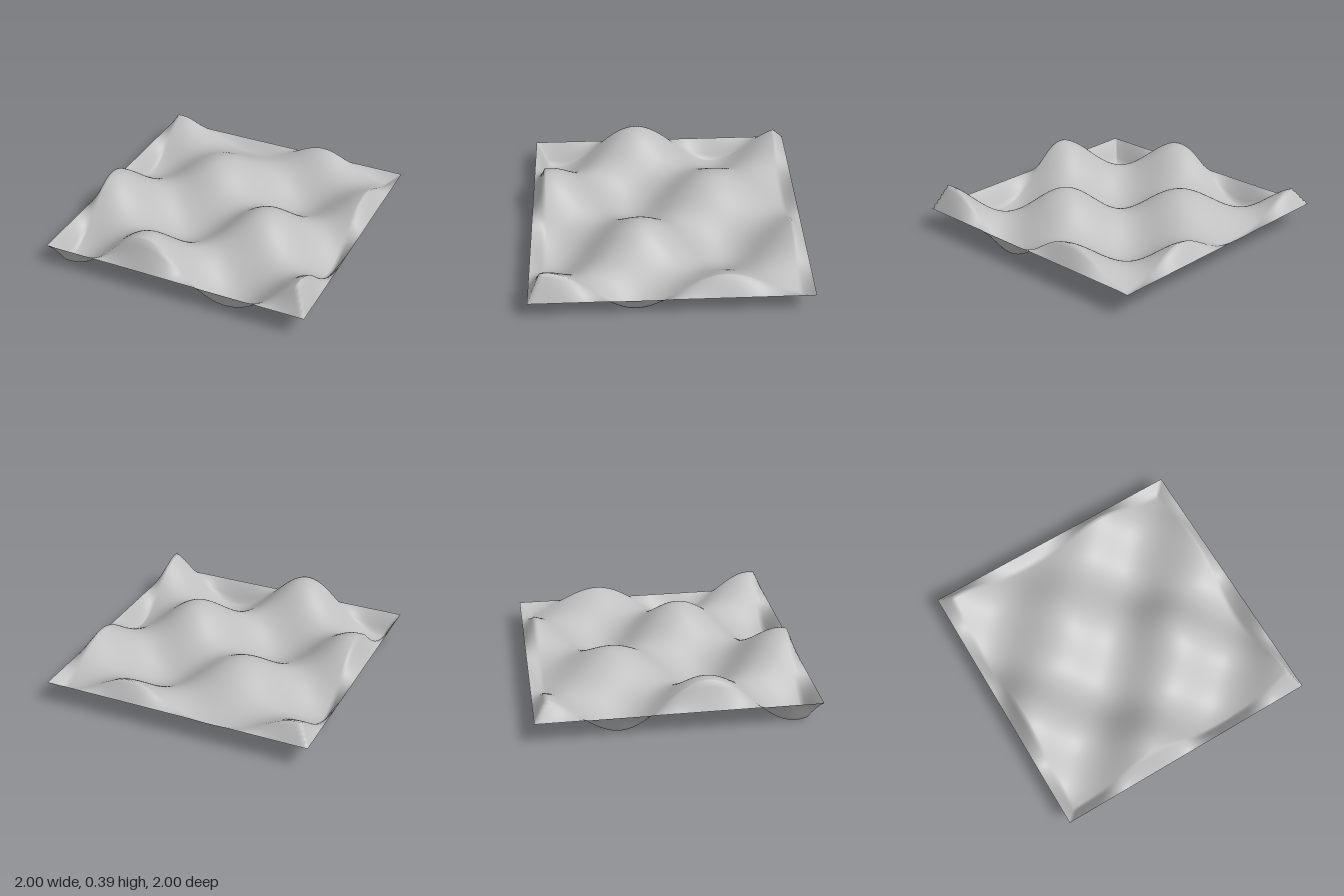
import * as THREE from 'three';

const RIM = 1 / 11;      // width of the sloping border
const BASE = 0.162;      // height of the flat outer edge
const SEGMENTS = 110;    // five cells across the border

// Egg-carton swell: crossed sine waves that grow towards the front
function swell(x, z) {
  const across = -Math.sin(5 * (x - 0.06));
  const amplitude = 0.168 + 0.04 * z - 0.01 * z * z;
  const lift = 0.015 + 0.018 * Math.cos(2 * Math.PI * z);
  return across * amplitude * Math.sin(5 * (z - 0.53)) + lift * across * across;
}

// Straight fall to the base level along the border, mitred at the corners
function rimFade(x, z) {
  const inset = 1 - Math.max(Math.abs(x), Math.abs(z));
  return THREE.MathUtils.clamp(inset / RIM, 0, 1);
}

export function createModel() {
  const group = new THREE.Group();
  group.name = 'wavySurface';

  const grey = new THREE.MeshStandardMaterial({ color: 0xbfbfbf, side: THREE.DoubleSide });
  grey.name = 'plain grey';

  // Square sheet, lifted vertex by vertex
  const geometry = new THREE.PlaneGeometry(2, 2, SEGMENTS, SEGMENTS);
  geometry.rotateX(-Math.PI / 2);
  const position = geometry.attributes.position;
  for (let i = 0; i < position.count; i++) {
    const x = position.getX(i);
    const z = position.getZ(i);
    position.setY(i, BASE + swell(x, z) * rimFade(x, z));
  }
  geometry.computeVertexNormals();

  const sheet = new THREE.Mesh(geometry, grey);
  sheet.name = 'waveSheet';
  group.add(sheet);
  return group;
}
